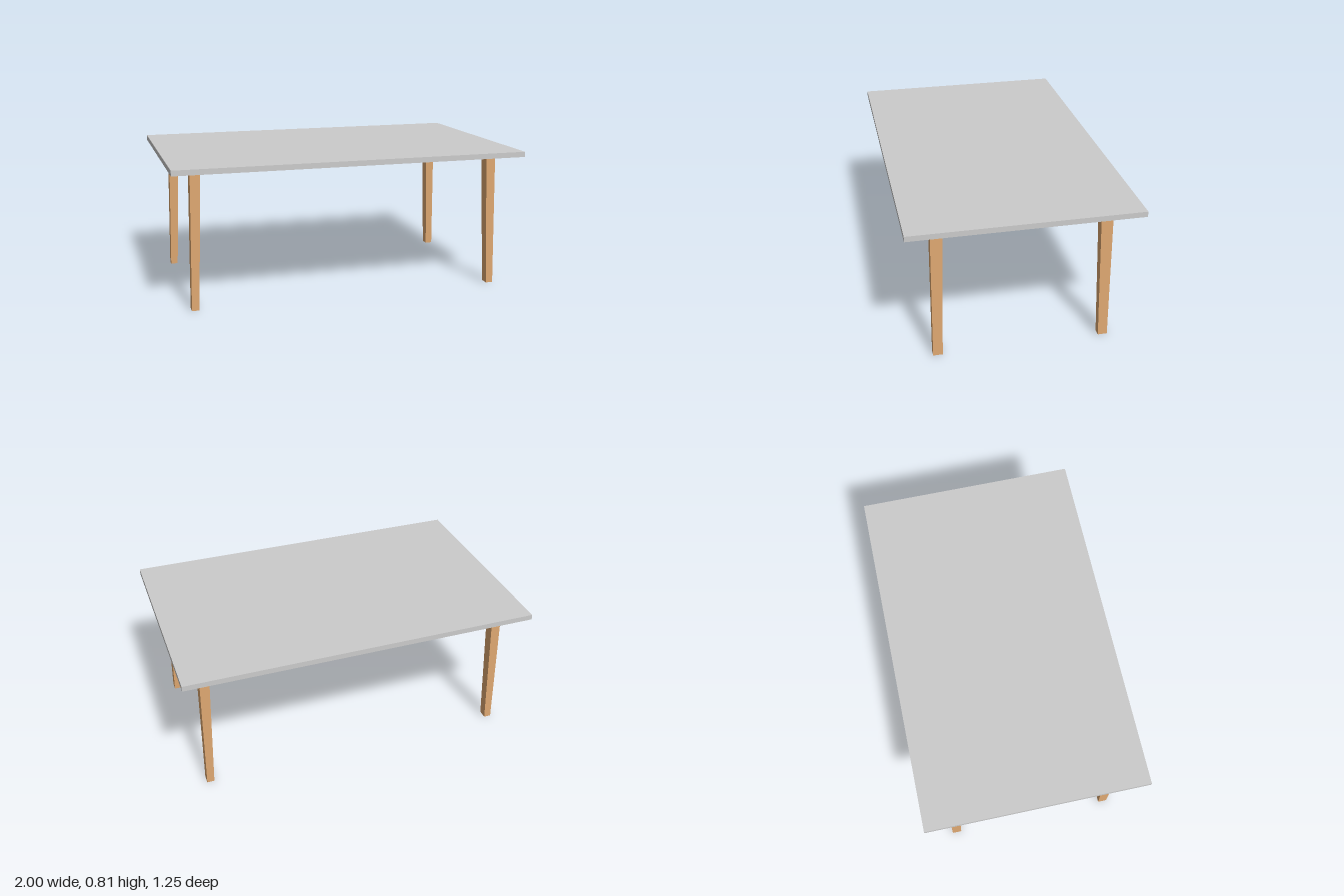
import * as THREE from 'three';

const TOP_Y = 0.808, UNDERSIDE_Y = 0.778;

// Tapered, slightly splayed leg in the +x +z corner; sx and sz mirror it to the others
function legGeometry(sx, sz) {
  const foot = { x: 0.88, z: 0.462, w: 0.041, d: 0.052 };
  const head = { x: 0.858, z: 0.449, w: 0.056, d: 0.066 };
  const geometry = new THREE.BoxGeometry(1, 1, 1);
  const p = geometry.attributes.position;
  for (let i = 0; i < p.count; i++) {
    const upper = p.getY(i) > 0;
    const end = upper ? head : foot;
    p.setXYZ(i, sx * end.x + p.getX(i) * end.w, upper ? UNDERSIDE_Y : 0, sz * end.z + p.getZ(i) * end.d);
  }
  geometry.computeVertexNormals();
  return geometry;
}

export function createModel() {
  const group = new THREE.Group();
  group.name = 'table';
  const grey = new THREE.MeshStandardMaterial({ color: 0xcccccc });
  const wood = new THREE.MeshStandardMaterial({ color: 0xdea871 });

  // Flat slab top
  const top = new THREE.Mesh(new THREE.BoxGeometry(2, TOP_Y - UNDERSIDE_Y, 1.246), grey);
  top.name = 'tableTop';
  top.position.y = (TOP_Y + UNDERSIDE_Y) / 2;
  group.add(top);

  // Four legs
  for (const sx of [-1, 1]) {
    for (const sz of [-1, 1]) {
      const leg = new THREE.Mesh(legGeometry(sx, sz), wood);
      leg.name = (sz > 0 ? 'front' : 'back') + (sx > 0 ? 'Left' : 'Right') + 'Leg';
      group.add(leg);
    }
  }
  return group;
}
